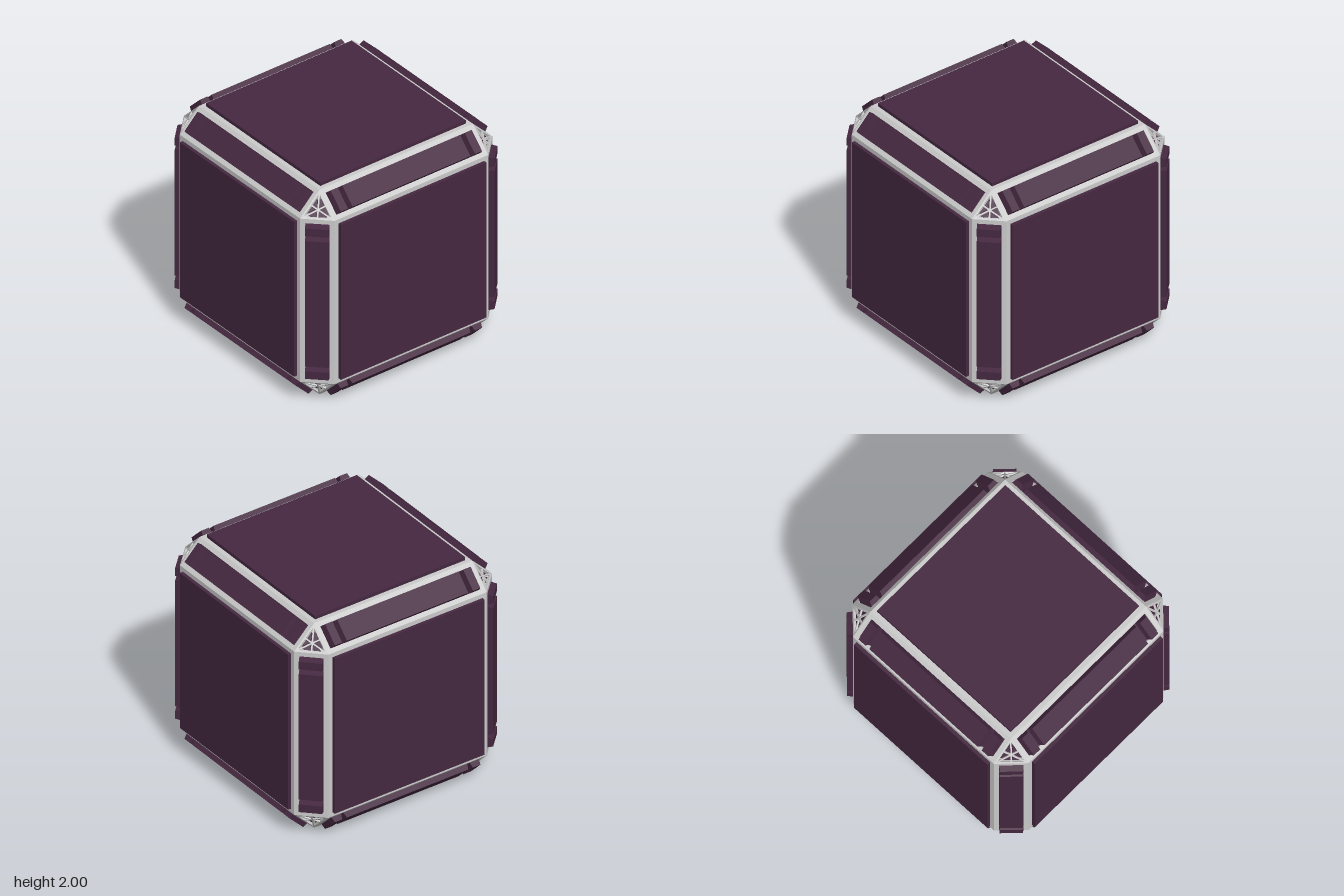
import * as THREE from 'three';

const H = 0.775;   // half size of each square frame
const D = 0.97;    // distance of the square frames from the centre
const HALF_EDGE = (D - H) / Math.SQRT2;              // half width of the bevelled edge faces
const TRI_R = ((D - H) * Math.SQRT2) / Math.sqrt(3); // radius of the corner triangles

const grey = new THREE.MeshStandardMaterial({ color: 0xcccccc, flatShading: true });
const purple = new THREE.MeshStandardMaterial({ color: 0x452840, flatShading: true });

const rect = (hw, hh) => [[-hw, -hh], [hw, -hh], [hw, hh], [-hw, hh]];
const triangle = (r) => [0, 1, 2].map((i) => {
  const a = Math.PI / 2 + (i * Math.PI * 2) / 3;
  return [r * Math.cos(a), r * Math.sin(a)];
});
const toPoints = (pts) => pts.map(([x, y]) => new THREE.Vector2(x, y));

// Flat piece with optional hole, its outer surface at z = top
function plate(outer, inner, depth, top = 0) {
  const shape = new THREE.Shape(toPoints(outer));
  if (inner) shape.holes.push(new THREE.Path(toPoints(inner).reverse()));
  return new THREE.ExtrudeGeometry(shape, { depth, bevelEnabled: false }).translate(0, 0, top - depth);
}

// Box from z0 to z1 whose outer side is narrowed by bx and by
function block(w, h, z0, z1, bx, by) {
  const g = new THREE.BoxGeometry(w, h, z1 - z0).translate(0, 0, (z0 + z1) / 2);
  const p = g.attributes.position;
  for (let i = 0; i < p.count; i++) {
    if (p.getZ(i) < z1 - 1e-4) continue;
    p.setX(i, p.getX(i) - Math.sign(p.getX(i)) * bx);
    p.setY(i, p.getY(i) - Math.sign(p.getY(i)) * by);
  }
  g.computeVertexNormals();
  return g;
}

function add(group, name, geometry, material) {
  const mesh = new THREE.Mesh(geometry, material);
  mesh.name = name;
  group.add(mesh);
  return mesh;
}

// Turn a group so its z follows the face normal and its y follows up
function place(group, normal, up, distance) {
  const z = normal.clone().normalize();
  const x = new THREE.Vector3().crossVectors(up, z).normalize();
  const y = new THREE.Vector3().crossVectors(z, x);
  group.quaternion.setFromRotationMatrix(new THREE.Matrix4().makeBasis(x, y, z));
  group.position.copy(z).multiplyScalar(distance);
  return group;
}

export function createModel() {
  const model = new THREE.Group();
  model.name = 'panelledCube';
  const body = new THREE.Group();
  body.name = 'body';
  body.position.y = 1;
  model.add(body);

  const axes = [new THREE.Vector3(1, 0, 0), new THREE.Vector3(0, 1, 0), new THREE.Vector3(0, 0, 1)];
  const signs = [-1, 1];

  // Six large faces
  const faceFrame = plate(rect(H, H), rect(H - 0.04, H - 0.04), 0.06);
  const facePanel = block(1.47, 1.47, -0.08, 0.03, 0, 0);
  axes.forEach((axis, i) => signs.forEach((s) => {
    const g = new THREE.Group();
    g.name = 'face';
    add(g, 'faceFrame', faceFrame, grey);
    add(g, 'facePanel', facePanel, purple);
    body.add(place(g, axis.clone().multiplyScalar(s), axes[(i + 1) % 3], D));
  }));

  // Twelve bevelled edges, each with a long block and two short end blocks
  const edgeFrame = plate(rect(HALF_EDGE, H), rect(HALF_EDGE - 0.04, H - 0.04), 0.05);
  const edgeFloor = plate(rect(0.12, 0.75), null, 0.03, -0.015);
  const longBlock = block(0.196, 1.23, -0.03, 0.046, 0.004, 0.02);
  const endBlock = block(0.196, 0.108, -0.03, 0.046, 0.004, 0.018);
  axes.forEach((axis, i) => signs.forEach((a) => signs.forEach((b) => {
    const g = new THREE.Group();
    g.name = 'edge';
    add(g, 'edgeFrame', edgeFrame, grey);
    add(g, 'edgeFloor', edgeFloor, purple);
    add(g, 'edgeLongBlock', longBlock, purple);
    signs.forEach((s) => { add(g, 'edgeEndBlock', endBlock, purple).position.y = s * 0.677; });
    const normal = axes[(i + 1) % 3].clone().multiplyScalar(a).addScaledVector(axes[(i + 2) % 3], b);
    body.add(place(g, normal, axis, (H + D) / Math.SQRT2));
  })));

  // Eight triangular corners with a six-armed star over small wedges
  const cornerFrame = plate(triangle(TRI_R), triangle(TRI_R - 0.03), 0.04);
  const cornerFloor = plate(triangle(TRI_R - 0.01), null, 0.02, -0.04);
  const wedgeOutline = [[0.014, 0.024], [0.014, 0.092], [0.047, 0.034]];
  const wedge = plate([...wedgeOutline].reverse(), null, 0.03, -0.018);
  const wedgeMirror = plate(wedgeOutline.map(([x, y]) => [-x, y]), null, 0.03, -0.018);
  const arm = (length) => new THREE.BoxGeometry(0.012, length, 0.014).translate(0, length / 2, -0.008);
  const longArm = arm(TRI_R - 0.02);
  const shortArm = arm(TRI_R / 2 - 0.005);
  signs.forEach((sx) => signs.forEach((sy) => signs.forEach((sz) => {
    const g = new THREE.Group();
    g.name = 'corner';
    add(g, 'cornerFrame', cornerFrame, grey);
    add(g, 'cornerFloor', cornerFloor, purple);
    for (let i = 0; i < 3; i++) {
      const turn = (i * Math.PI * 2) / 3;
      add(g, 'starLongArm', longArm, grey).rotation.z = turn;
      add(g, 'starShortArm', shortArm, grey).rotation.z = turn + Math.PI;
      add(g, 'cornerWedge', wedge, purple).rotation.z = turn;
      add(g, 'cornerWedge', wedgeMirror, purple).rotation.z = turn;
    }
    body.add(place(g, new THREE.Vector3(sx, sy, sz), new THREE.Vector3(0, sy, 0), (2 * H + D) / Math.sqrt(3)));
  })));

  return model;
}
